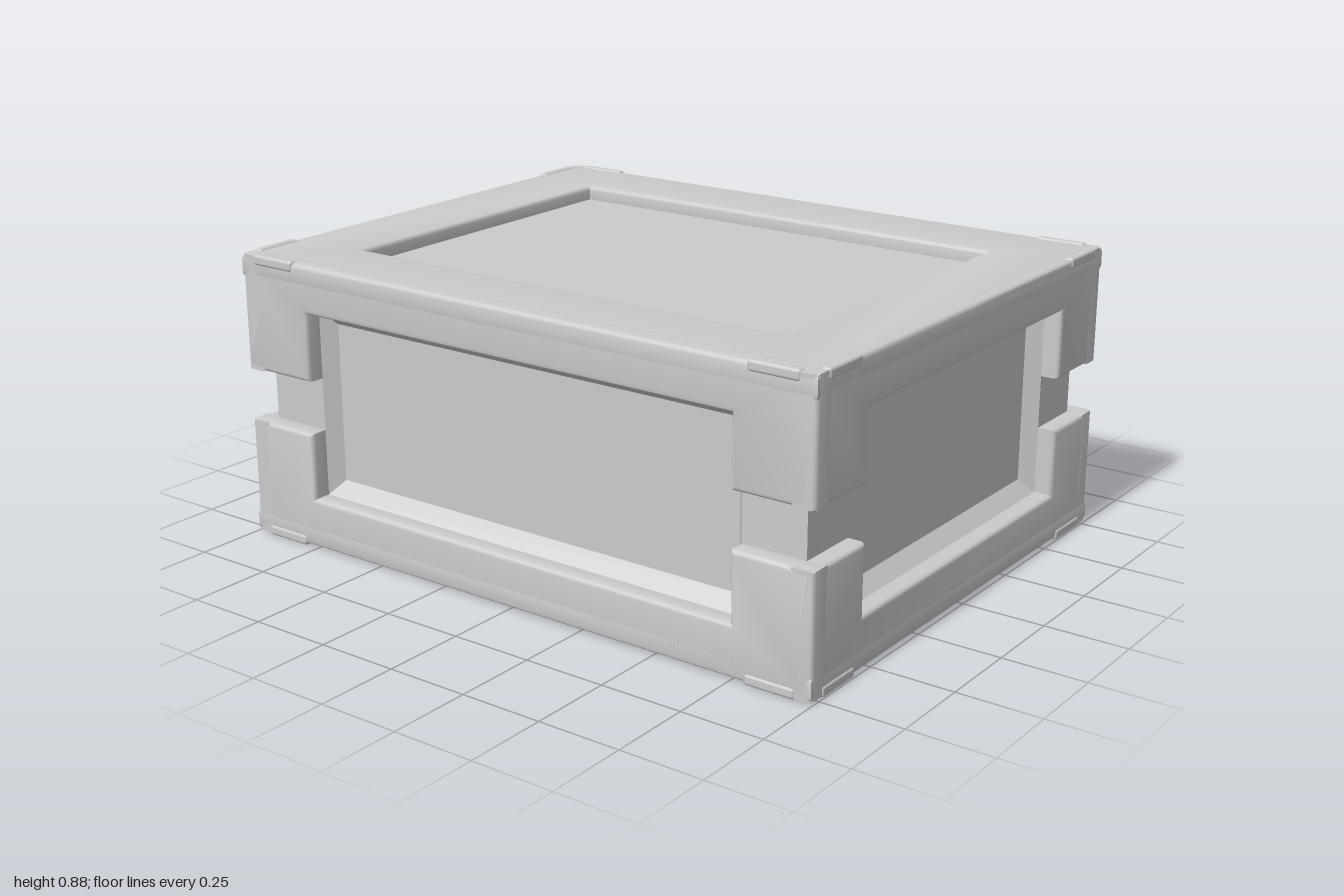
import * as THREE from 'three';
import { toCreasedNormals } from 'three/addons/utils/BufferGeometryUtils.js';
import { RoundedBoxGeometry } from 'three/addons/geometries/RoundedBoxGeometry.js';

const material = new THREE.MeshStandardMaterial({ color: 0xcccccc });
const BEVEL = 0.014;
const HEIGHT = 0.87, BASE = 0.005;
const HALF_X = 0.996, HALF_Z = 0.782;       // outer frame
const OPEN_X = 0.745, OPEN_Z = 0.535;       // recess half widths
const OPEN_LOW = 0.157, OPEN_HIGH = 0.725;  // recess heights
const STEP = 0.055;                         // frame depth in front of the core
const PANEL = 0.095;                        // panel depth below the frame face

function add(parent, name, geometry, x = 0, y = 0, z = 0) {
  const mesh = new THREE.Mesh(geometry, material);
  mesh.name = name;
  mesh.position.set(x, y, z);
  parent.add(mesh);
  return mesh;
}

// Slab with rounded edges whose outer face lies at z = 0
function roundedSlab(shape, thickness) {
  const geometry = new THREE.ExtrudeGeometry(shape, {
    depth: thickness - 2 * BEVEL, bevelEnabled: true, bevelThickness: BEVEL,
    bevelSize: BEVEL, bevelOffset: -BEVEL, bevelSegments: 3, curveSegments: 4,
  });
  geometry.translate(0, 0, BEVEL - thickness);
  return toCreasedNormals(geometry, 0.65);
}

function polygon(points) {
  return new THREE.Shape(points.map(([x, y]) => new THREE.Vector2(x, y)));
}

// U-shaped half of a side frame, from its outer edge to the corner notch
function halfFrame(half, open, edge, inner, notch) {
  return polygon([
    [-half, edge], [half, edge], [half, notch], [open, notch],
    [open, inner], [-open, inner], [-open, notch], [-half, notch],
  ]);
}

// Four sloped faces leading from the recess opening in to the panel
function slopedRim(open, inset, depth) {
  const loop = (w, low, high, z) => [[-w, low, z], [w, low, z], [w, high, z], [-w, high, z]];
  const outer = loop(open, OPEN_LOW, OPEN_HIGH, 0);
  const inner = loop(open - inset, OPEN_LOW + 0.042, OPEN_HIGH - 0.043, -depth);
  const positions = [];
  for (let i = 0; i < 4; i++) {
    const j = (i + 1) % 4;
    positions.push(...outer[i], ...outer[j], ...inner[j], ...outer[i], ...inner[j], ...inner[i]);
  }
  const geometry = new THREE.BufferGeometry();
  geometry.setAttribute('position', new THREE.Float32BufferAttribute(positions, 3));
  geometry.computeVertexNormals();
  return geometry;
}

export function createModel() {
  const model = new THREE.Group();
  model.name = 'crate';

  // Core: its faces are the recessed panels
  const coreLow = BASE + 0.045, coreHigh = HEIGHT - 0.045;
  add(model, 'corePanels',
    new THREE.BoxGeometry(2 * (HALF_X - PANEL), coreHigh - coreLow, 2 * (HALF_Z - PANEL)),
    0, (coreLow + coreHigh) / 2, 0);

  // Lid and floor frames around a rectangular recess
  const frame = polygon([[-HALF_X, -HALF_Z], [HALF_X, -HALF_Z], [HALF_X, HALF_Z], [-HALF_X, HALF_Z]]);
  frame.holes.push(polygon([[-OPEN_X, -OPEN_Z], [-OPEN_X, OPEN_Z], [OPEN_X, OPEN_Z], [OPEN_X, -OPEN_Z]]));
  const frameGeometry = roundedSlab(frame, 0.07);
  add(model, 'lidFrame', frameGeometry, 0, HEIGHT, 0).rotation.x = -Math.PI / 2;
  add(model, 'floorFrame', frameGeometry, 0, BASE, 0).rotation.x = Math.PI / 2;

  // Corner posts seen through the notches
  const postX = HALF_X - STEP, postZ = HALF_Z - STEP;
  for (const sx of [-1, 1]) for (const sz of [-1, 1]) {
    add(model, 'cornerPost', new THREE.BoxGeometry(postX - OPEN_X, 0.7, postZ - OPEN_Z),
      sx * (postX + OPEN_X) / 2, (HEIGHT + BASE) / 2, sz * (postZ + OPEN_Z) / 2);
  }

  // The four sides
  ['front', 'left', 'back', 'right'].forEach((name, i) => {
    const wide = i % 2 === 0;
    const half = wide ? HALF_X : HALF_Z;
    const open = wide ? OPEN_X : OPEN_Z;
    const face = wide ? HALF_Z : HALF_X;
    const side = new THREE.Group();
    side.name = name + 'Side';
    side.rotation.y = i * Math.PI / 2;
    model.add(side);

    add(side, 'upperFrame', roundedSlab(halfFrame(half, open, HEIGHT, OPEN_HIGH, 0.52), STEP + 0.02), 0, 0, face);
    add(side, 'lowerFrame', roundedSlab(halfFrame(half, open, BASE, OPEN_LOW, 0.36), STEP + 0.02), 0, 0, face);
    add(side, 'slopedRim', slopedRim(open, 0.035, PANEL - STEP), 0, 0, face - STEP);

    // Small raised clips on the edges near each corner
    const clip = new RoundedBoxGeometry(0.155, 0.032, 0.03, 2, 0.009);
    for (const sx of [-1, 1]) for (const y of [BASE + 0.011, HEIGHT - 0.011]) {
      add(side, 'edgeClip', clip, sx * (half - 0.127), y, face - 0.011);
    }
  });
  return model;
}
